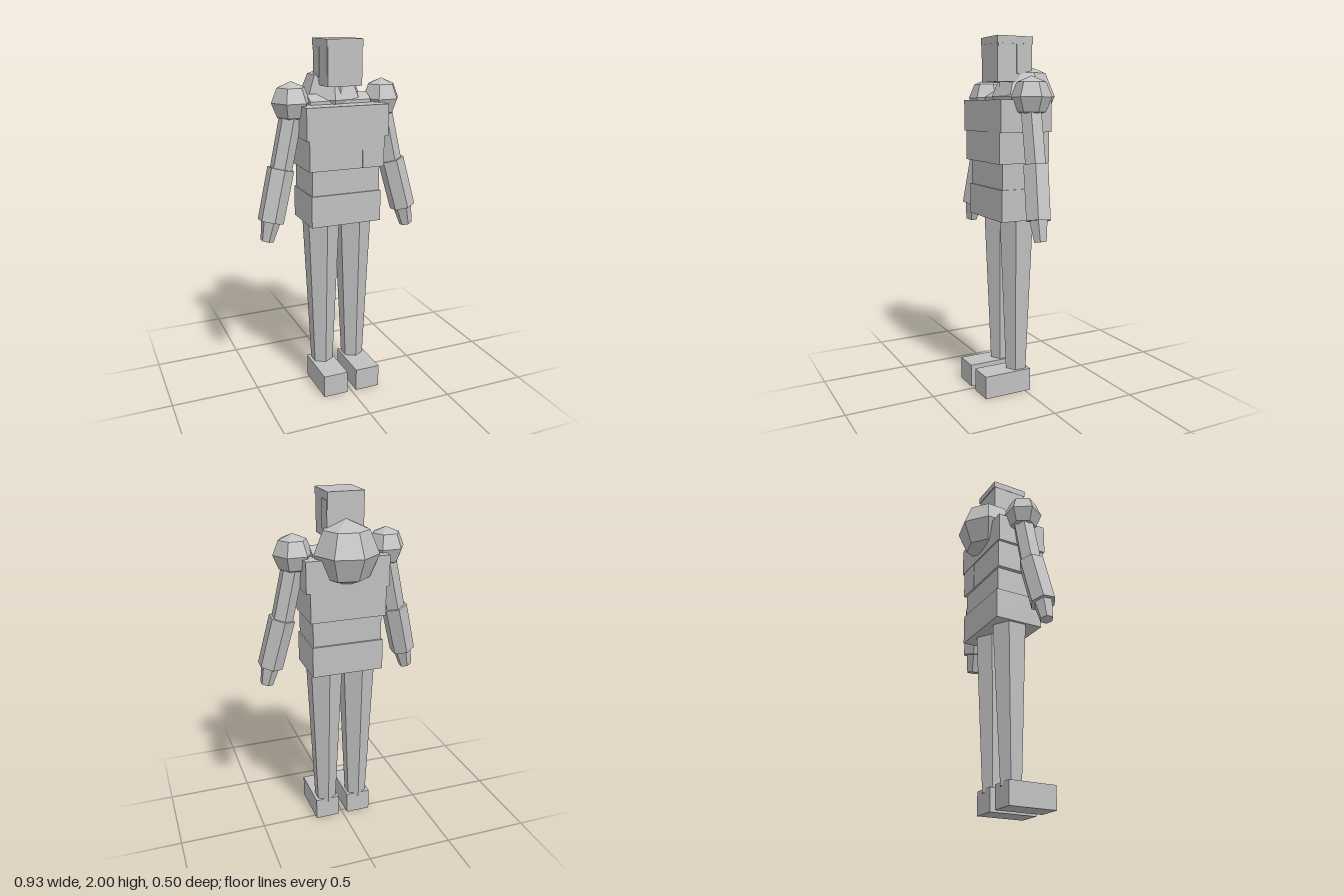
import * as THREE from 'three';

export function createModel() {
  const model = new THREE.Group();
  model.name = 'blockyFigure';
  const grey = new THREE.MeshStandardMaterial({ color: 0xc0c0c0, flatShading: true });
  grey.name = 'plain grey';

  const add = (name, geometry, x = 0, y = 0, z = 0) => {
    const mesh = new THREE.Mesh(geometry, grey);
    mesh.name = name;
    mesh.position.set(x, y, z);
    model.add(mesh);
    return mesh;
  };

  // Box given by its extents along each axis
  const box = (name, [x0, x1], [y0, y1], [z0, z1]) =>
    add(name, new THREE.BoxGeometry(x1 - x0, y1 - y0, z1 - z0),
      (x0 + x1) / 2, (y0 + y1) / 2, (z0 + z1) / 2);

  // Six-sided tapered limb running from an upper to a lower point
  const up = new THREE.Vector3(0, 1, 0);
  const limb = (name, from, to, rFrom, rTo) => {
    const a = new THREE.Vector3(...from), b = new THREE.Vector3(...to);
    const mid = a.clone().add(b).multiplyScalar(0.5);
    const mesh = add(name, new THREE.CylinderGeometry(rFrom, rTo, a.distanceTo(b), 6), mid.x, mid.y, mid.z);
    mesh.quaternion.setFromUnitVectors(up, a.sub(b).normalize());
  };

  // Head with a shallow cap and side panels
  box('head', [-0.1, 0.1], [1.757, 1.97], [-0.075, 0.13]);
  box('headCap', [-0.102, 0.102], [1.96, 2], [-0.08, 0.136]);
  box('face', [-0.098, 0.098], [1.757, 1.96], [0.125, 0.135]);
  box('sidePanels', [-0.103, 0.103], [1.8, 1.957], [-0.07, 0.02]);
  add('neck', new THREE.CylinderGeometry(0.04, 0.06, 0.14, 6), 0, 1.71, 0.03);

  // Torso slabs
  box('chest', [-0.236, 0.236], [1.487, 1.66], [-0.122, 0.184]);
  box('ribs', [-0.22, 0.2], [1.32, 1.487], [-0.118, 0.18]);
  box('sidePouch', [0.085, 0.213], [1.32, 1.487], [-0.121, 0.183]);
  box('belly', [-0.198, 0.198], [1.18, 1.32], [-0.108, 0.157]);
  box('hips', [-0.205, 0.205], [1.005, 1.18], [-0.12, 0.165]);

  // Bar across the shoulders
  const bar = new THREE.CylinderGeometry(0.07, 0.07, 0.35, 6);
  bar.rotateY(Math.PI / 2).rotateZ(Math.PI / 2);
  const barMesh = add('shoulderBar', bar, 0, 1.642, 0.02);
  barMesh.geometry.computeBoundingBox();

  // Round pack on the upper back
  const pack = new THREE.SphereGeometry(0.18, 7, 4).rotateY(Math.PI);
  add('backPack', pack, 0, 1.68, -0.075);

  // Arms, legs and feet, mirrored
  for (const [side, s] of [['left', 1], ['right', -1]]) {
    add(side + 'ShoulderPad', new THREE.SphereGeometry(0.11, 6, 4), s * 0.265, 1.674, 0.02);
    limb(side + 'UpperArm', [s * 0.262, 1.63, 0.022], [s * 0.333, 1.31, 0.03], 0.062, 0.062);
    limb(side + 'Forearm', [s * 0.333, 1.32, 0.03], [s * 0.405, 1.037, 0.053], 0.075, 0.073);
    limb(side + 'Hand', [s * 0.403, 1.045, 0.053], [s * 0.43, 0.929, 0.055], 0.055, 0.037);
    limb(side + 'Thigh', [s * 0.098, 1.01, 0.018], [s * 0.098, 0.56, 0.02], 0.106, 0.085);
    limb(side + 'Shin', [s * 0.098, 0.56, 0.02], [s * 0.098, 0.11, 0.022], 0.085, 0.064);
    const foot = box(side + 'Foot', [0.028, 0.172], [0, 0.13], [-0.033, 0.25]);
    foot.position.x *= s;
  }

  return model;
}
